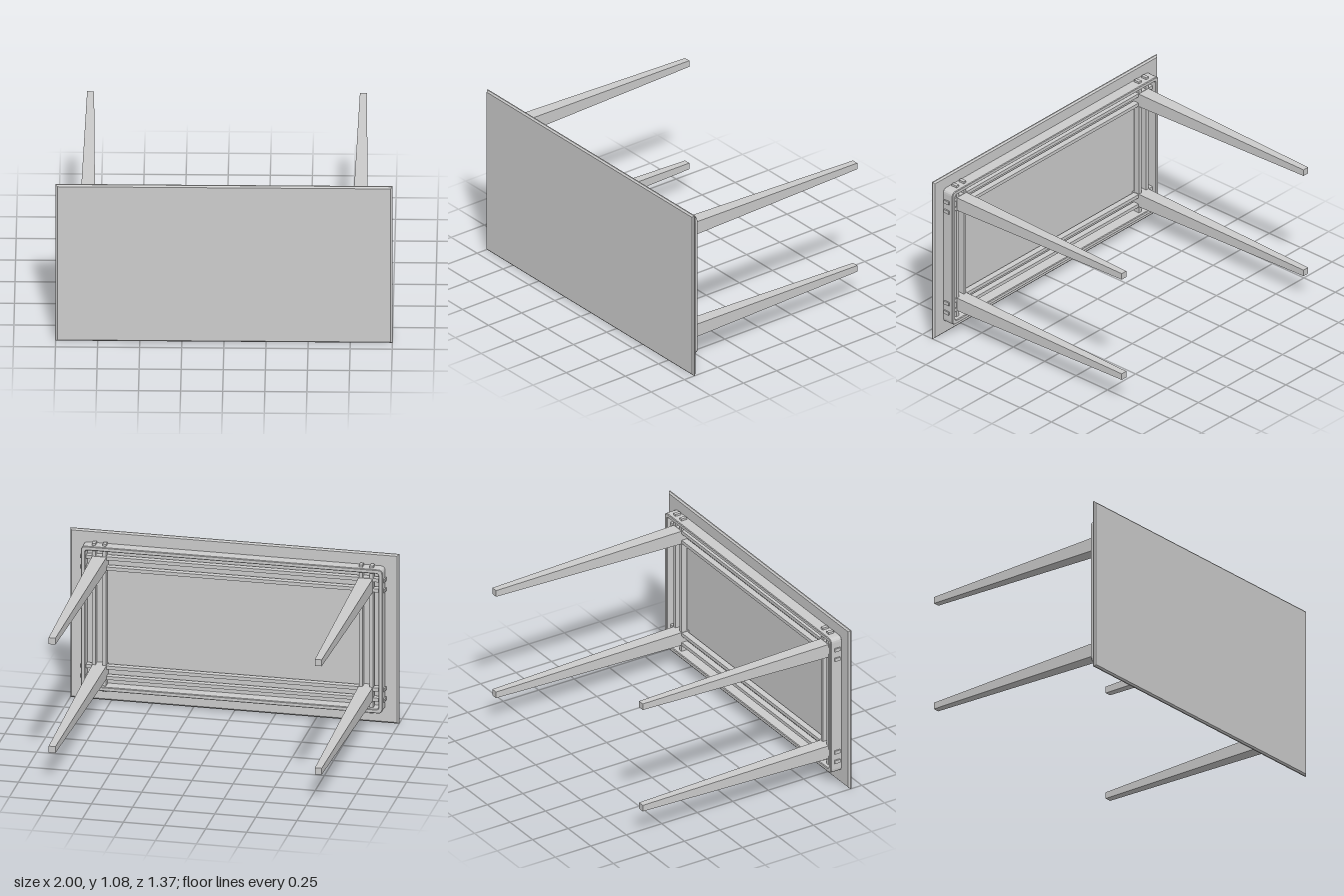
import * as THREE from 'three';

const CY = 0.545; // centre height of the frame and legs

// Rounded rectangle centred on the origin
function roundedRect(Target, hx, hy, r) {
  const s = new Target();
  s.moveTo(-hx + r, -hy);
  s.lineTo(hx - r, -hy).quadraticCurveTo(hx, -hy, hx, -hy + r);
  s.lineTo(hx, hy - r).quadraticCurveTo(hx, hy, hx - r, hy);
  s.lineTo(-hx + r, hy).quadraticCurveTo(-hx, hy, -hx, hy - r);
  s.lineTo(-hx, -hy + r).quadraticCurveTo(-hx, -hy, -hx + r, -hy);
  return s;
}

export function createModel() {
  const group = new THREE.Group();
  const material = new THREE.MeshStandardMaterial({ color: 0xcccccc, flatShading: true });
  const add = (name, geometry, x, y, z) => {
    const mesh = new THREE.Mesh(geometry, material);
    mesh.name = name;
    mesh.position.set(x, y, z);
    group.add(mesh);
    return mesh;
  };

  // Table top with a bevelled edge, turned on its side
  const outline = new THREE.Shape([[-1, -1], [1, -1], [1, 1], [-1, 1]]
    .map(([x, y]) => new THREE.Vector2(x * 0.99, y * 0.53)));
  const top = new THREE.ExtrudeGeometry(outline, {
    depth: 0.007, bevelEnabled: true, bevelSegments: 1, bevelSize: 0.01, bevelThickness: 0.009,
  });
  add('tableTop', top, 0, 0.54, 0.669);

  // Outer apron: thin ring with rounded corners
  const ring = roundedRect(THREE.Shape, 0.914, 0.454, 0.025);
  ring.holes.push(roundedRect(THREE.Path, 0.896, 0.436, 0.018));
  const apron = new THREE.ExtrudeGeometry(ring, {
    depth: 0.07, bevelEnabled: true, bevelSegments: 1, bevelSize: 0.004, bevelThickness: 0.004, curveSegments: 4,
  });
  add('apron', apron, 0, CY, 0.588);

  // Paired rails whose ends pass through the apron as tenons
  for (const s of [-1, 1]) {
    for (const off of [0.316, 0.381]) {
      add('longRail', new THREE.BoxGeometry(1.854, 0.022, 0.039), 0, CY + s * off, 0.628);
    }
    for (const off of [0.78, 0.845]) {
      add('crossRail', new THREE.BoxGeometry(0.022, 0.942, 0.039), s * off, CY, 0.628);
    }
  }

  // Square legs: straight inside the frame, tapering to the foot
  const leg = new THREE.BoxGeometry(0.086, 0.086, 1.345, 1, 1, 2);
  const p = leg.attributes.position;
  for (let i = 0; i < p.count; i++) {
    const z = p.getZ(i);
    if (z < -0.1) p.setXYZ(i, p.getX(i) * 0.48, p.getY(i) * 0.48, -0.685);
    else p.setZ(i, z > 0.1 ? 0.66 : 0.585);
  }
  leg.computeVertexNormals();
  for (const x of [-0.81, 0.81]) {
    for (const y of [-0.346, 0.346]) add('leg', leg, x, CY + y, 0);
  }
  return group;
}
